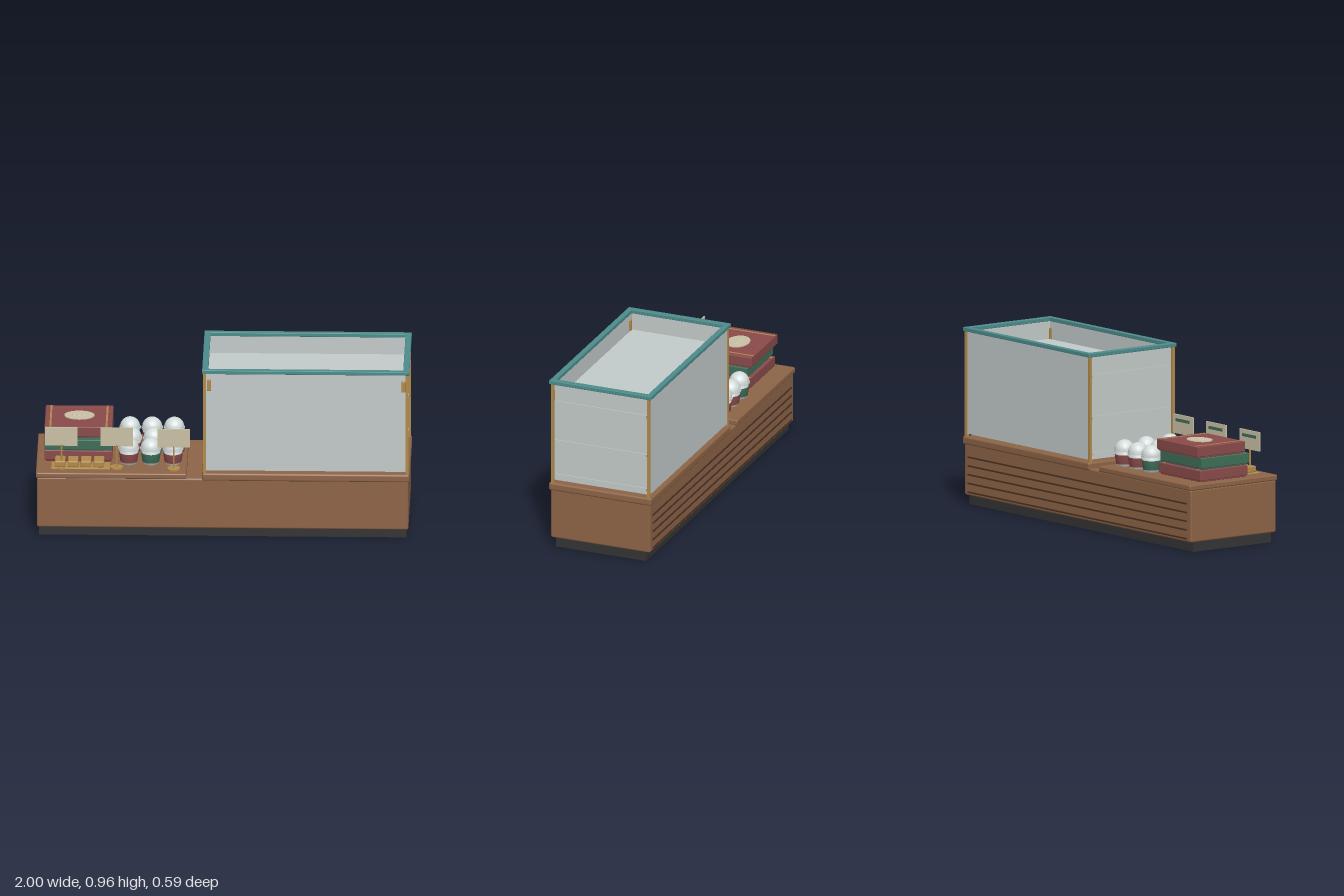
import * as THREE from 'three';
import { RoundedBoxGeometry } from 'three/addons/geometries/RoundedBoxGeometry.js';

export function createModel() {
  const model = new THREE.Group();
  model.name = 'shopCounter';

  const mat = (name, color, side = THREE.FrontSide) => {
    const m = new THREE.MeshStandardMaterial({ color, side });
    m.name = name;
    return m;
  };
  const wood = mat('wood', 0x8d6446);
  const darkWood = mat('darkWood', 0x4a3024);
  const plinthMat = mat('charcoal', 0x343434);
  const glass = mat('glass', 0xc2cbc9);
  const teal = mat('teal', 0x4d8c8c);
  const brass = mat('brass', 0xb28a4c);
  const red = mat('red', 0x8a4a4a);
  const green = mat('green', 0x3f6d58);
  const cream = mat('cream', 0xc9c0a5);
  const white = mat('white', 0xd3dbdb);

  const add = (name, geometry, material, x = 0, y = 0, z = 0, parent = model) => {
    const mesh = new THREE.Mesh(geometry, material);
    mesh.name = name;
    mesh.position.set(x, y, z);
    parent.add(mesh);
    return mesh;
  };
  // Box given by its limits on each axis; r > 0 rounds the edges
  const box = (name, material, [x0, x1], [y0, y1], [z0, z1], r = 0, parent = model) => {
    const size = [x1 - x0, y1 - y0, z1 - z0];
    const geo = r ? new RoundedBoxGeometry(...size, 2, r) : new THREE.BoxGeometry(...size);
    return add(name, geo, material, (x0 + x1) / 2, (y0 + y1) / 2, (z0 + z1) / 2, parent);
  };
  const group = (name, x = 0, y = 0, z = 0) => {
    const g = new THREE.Group();
    g.name = name;
    g.position.set(x, y, z);
    model.add(g);
    return g;
  };

  // Counter body, plinth and worktops
  box('plinth', plinthMat, [-0.985, 0.98], [0, 0.06], [-0.26, 0.262]);
  box('counterBody', wood, [-0.995, 0.99], [0.052, 0.337], [-0.286, 0.289], 0.01);
  box('lowWorktop', wood, [-1, -0.195], [0.333, 0.365], [-0.295, 0.295], 0.008);
  box('caseWorktop', wood, [-0.112, 0.997], [0.327, 0.37], [-0.295, 0.298], 0.01);

  // Dark grooves along the back
  for (let i = 0; i < 5; i++) {
    const y = 0.071 + i * 0.0473;
    box('backGroove', darkWood, [-0.96, 0.955], [y - 0.004, y + 0.004], [-0.291, -0.284]);
  }

  // Display case: posts, panes, shelves and open top frame
  const display = group('displayCase');
  for (const x of [-0.107, 0.974]) {
    for (const z of [-0.284, 0.272]) {
      box('cornerPost', brass, [x, x + 0.016], [0.365, 0.942], [z, z + 0.016], 0, display);
    }
  }
  for (const z of [-0.279, 0.277]) {
    box('longPane', glass, [-0.09, 0.972], [0.383, 0.942], [z, z + 0.005], 0, display);
  }
  for (const x of [-0.094, 0.97]) {
    box('endPane', glass, [x, x + 0.005], [0.383, 0.942], [-0.27, 0.274], 0, display);
  }
  for (const y of [0.413, 0.61, 0.835]) {
    box('shelf', glass, [-0.099, 0.98], [y - 0.007, y + 0.007], [-0.268, 0.27], 0, display);
    for (const x of [-0.101, 0.972]) {
      box('shelfPin', brass, [x, x + 0.01], [y - 0.008, y + 0.004], [-0.27, -0.26], 0, display);
    }
  }
  for (const z of [-0.294, 0.267]) {
    box('topRail', teal, [-0.112, 0.995], [0.939, 0.96], [z, z + 0.03], 0.003, display);
  }
  for (const x of [-0.112, 0.962]) {
    box('topEndRail', teal, [x, x + 0.033], [0.939, 0.96], [-0.28, 0.283], 0.003, display);
  }
  for (const x of [-0.087, 0.954]) {
    box('doorHandle', brass, [x, x + 0.022], [0.84, 0.902], [0.268, 0.291], 0.003, display);
  }

  // Stacked gift boxes, each a base with a lid and two ribbons
  const stack = [
    { y: 0.365, z: -0.035, m: red },
    { y: 0.43, z: -0.025, m: green },
    { y: 0.495, z: -0.05, m: red },
  ];
  for (const { y, z, m } of stack) {
    const gift = group('giftBox', -0.777, y, z);
    box('boxBase', m, [-0.174, 0.174], [0, 0.025], [-0.153, 0.153], 0.003, gift);
    box('boxLid', m, [-0.181, 0.181], [0.008, 0.063], [-0.16, 0.16], 0.004, gift);
    for (const x of [-0.15, 0.15]) {
      box('ribbon', brass, [x - 0.005, x + 0.005], [0.06, 0.0645], [-0.158, 0.158], 0, gift);
    }
  }
  const label = add('ovalLabel', new THREE.CylinderGeometry(1, 1, 0.005, 32), cream, -0.775, 0.56, -0.058);
  label.scale.set(0.081, 1, 0.062);
  for (const dx of [-0.027, 0, 0.027]) {
    const bump = add('labelBump', new THREE.SphereGeometry(0.012, 12, 8), cream, -0.775 + dx, 0.562, -0.056);
    bump.scale.y = 0.4;
  }

  // Lidded cups with a coloured sleeve
  const lathe = (pts) => new THREE.LatheGeometry(pts.map(([r, y]) => new THREE.Vector2(r, y)), 20);
  const cupGeo = lathe([[0, 0], [0.04, 0], [0.053, 0.083], [0, 0.083]]);
  const sleeveGeo = lathe([[0.041, 0.012], [0.0455, 0.012], [0.053, 0.062], [0.049, 0.062]]);
  const rimGeo = new THREE.CylinderGeometry(0.057, 0.057, 0.009, 20);
  const domeGeo = new THREE.SphereGeometry(0.054, 20, 8, 0, Math.PI * 2, 0, Math.PI / 2);
  const rows = [
    { z: -0.176, x: -0.507, sleeves: [green, red, red] },
    { z: -0.02, x: -0.496, sleeves: [red, green, red] },
    { z: 0.132, x: -0.507, sleeves: [red, green, red] },
  ];
  for (const { z, x, sleeves } of rows) {
    sleeves.forEach((m, i) => {
      const cup = group('cup', x + i * 0.118, 0.365, z);
      add('cupBody', cupGeo, white, 0, 0, 0, cup);
      add('cupSleeve', sleeveGeo, m, 0, 0, 0, cup);
      add('cupRim', rimGeo, white, 0, 0.084, 0, cup);
      add('domeLid', domeGeo, white, 0, 0.088, 0, cup);
    });
  }

  // Tray with four pastries
  box('tray', brass, [-0.92, -0.605], [0.364, 0.373], [0.145, 0.24], 0.003);
  for (let i = 0; i < 4; i++) {
    const x = -0.872 + i * 0.069;
    box('pastry', brass, [x - 0.028, x + 0.028], [0.372, 0.406], [0.14, 0.228], 0.006);
  }

  // Price signs on stems, with a green bar on the back
  for (const [x, z] of [[-0.865, 0.212], [-0.57, 0.212], [-0.265, 0.225]]) {
    const sign = group('priceSign', x, 0.365, z);
    add('signFoot', new THREE.CylinderGeometry(0.035, 0.035, 0.008, 20), brass, 0, 0.004, 0, sign);
    add('signStem', new THREE.CylinderGeometry(0.005, 0.005, 0.13, 10), brass, 0, 0.068, 0, sign);
    box('signPlate', cream, [-0.087, 0.087], [0.126, 0.23], [-0.004, 0.004], 0, sign);
    box('signBar', green, [-0.06, 0.06], [0.192, 0.208], [-0.007, -0.003], 0, sign);
  }

  return model;
}
